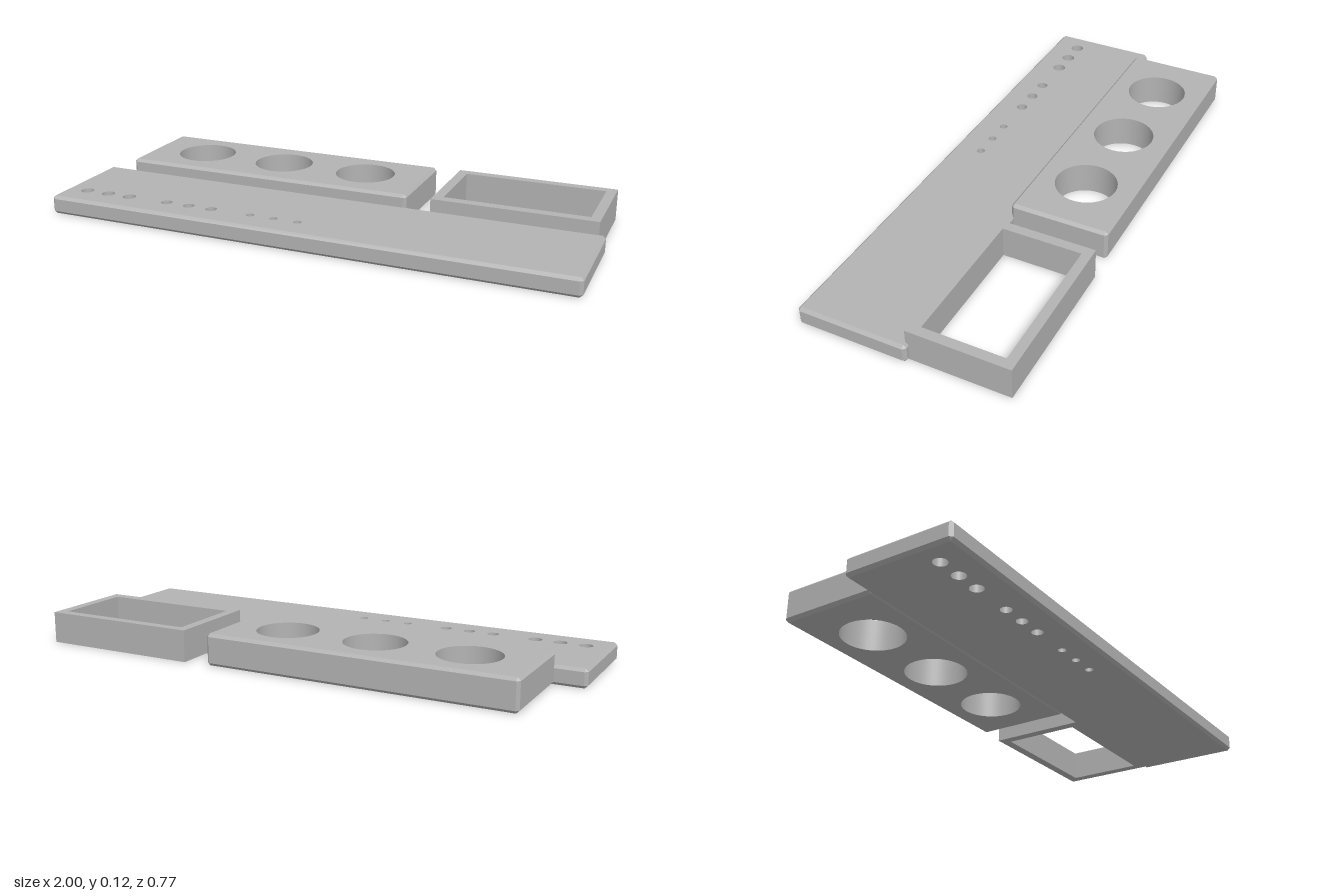
import * as THREE from 'three';

const grey = new THREE.MeshStandardMaterial({ color: 0xb3b3b3 });
grey.name = 'plain grey';
const CHAMFER = 0.011;
const HALF_SEGMENTS = 24;

function rectangle(path, x0, x1, y0, y1) {
  return path.moveTo(x0, y0).lineTo(x1, y0).lineTo(x1, y1).lineTo(x0, y1).closePath();
}

// Chamfered outer walls, lofted through four eight-point rings.
function shellGeometry(x0, x1, z0, z1, h) {
  const c = CHAMFER;
  const ring = (y, wide) => {
    const e = wide ? 0 : c;
    const l = x0 + e, r = x1 - e, b = z0 + e, f = z1 - e;
    const L = x0 + c, R = x1 - c, B = z0 + c, F = z1 - c;
    return [[L, f], [R, f], [r, F], [r, B], [R, b], [L, b], [l, B], [l, F]]
      .map(([x, z]) => new THREE.Vector3(x, y, z));
  };
  const rings = [ring(0, false), ring(c, true), ring(h - c, true), ring(h, false)];
  const points = [];
  const addFace = (p, q, r) => {
    if (new THREE.Triangle(p, q, r).getArea() > 1e-8) points.push(p, q, r);
  };
  for (let k = 0; k < 3; k++) {
    for (let i = 0; i < 8; i++) {
      const j = (i + 1) % 8;
      const low = rings[k], high = rings[k + 1];
      addFace(low[i], low[j], high[j]);
      addFace(low[i], high[j], high[i]);
    }
  }
  const geometry = new THREE.BufferGeometry().setFromPoints(points);
  geometry.computeVertexNormals();
  return geometry;
}

// Flat face with round openings; side is 1 for the top and -1 for the bottom.
function faceGeometry(x0, x1, z0, z1, y, holes, side) {
  const c = CHAMFER;
  const ys = [-side * z0, -side * z1].sort((a, b) => a - b);
  const shape = rectangle(new THREE.Shape(), x0 + c, x1 - c, ys[0] + c, ys[1] - c);
  for (const [x, z, r] of holes) {
    shape.holes.push(new THREE.Path().absarc(x, -side * z, r, 0, Math.PI * 2, true));
  }
  return new THREE.ShapeGeometry(shape, HALF_SEGMENTS)
    .rotateX(-side * Math.PI / 2).translate(0, y, 0);
}

function drilledBlock(name, x0, x1, z0, z1, h, holes) {
  const group = new THREE.Group();
  group.name = name;
  const add = (part, geometry) => {
    const mesh = new THREE.Mesh(geometry, grey);
    mesh.name = part;
    group.add(mesh);
    return mesh;
  };
  add('chamferedWalls', shellGeometry(x0, x1, z0, z1, h));
  add('topFace', faceGeometry(x0, x1, z0, z1, h, holes, 1));
  add('bottomFace', faceGeometry(x0, x1, z0, z1, 0, holes, -1));
  // A profile running downward makes the bore face inward.
  for (const [x, z, r] of holes) {
    const profile = [new THREE.Vector2(r, h), new THREE.Vector2(r, 0)];
    add('holeWall', new THREE.LatheGeometry(profile, HALF_SEGMENTS * 2)).position.set(x, 0, z);
  }
  return group;
}

export function createModel() {
  const model = new THREE.Group();
  model.name = 'toolHolder';

  // Long front plate with three sets of small holes
  const smallHoles = [];
  for (const [start, radius] of [[-0.911, 0.025], [-0.561, 0.021], [-0.214, 0.015]]) {
    for (let i = 0; i < 3; i++) smallHoles.push([start + i * 0.0935, 0.277, radius]);
  }
  model.add(drilledBlock('frontPlate', -1, 1, -0.023, 0.383, 0.07, smallHoles));

  // Taller rear block with three large holes
  const largeHoles = [-0.652, -0.305, 0.043].map((x) => [x, -0.199, 0.114]);
  model.add(drilledBlock('rearBlock', -0.885, 0.275, -0.383, -0.011, 0.118, largeHoles));

  // Open rectangular frame
  const outline = rectangle(new THREE.Shape(), 0.369, 0.976, 0.011, 0.383);
  outline.holes.push(rectangle(new THREE.Path(), 0.406, 0.939, 0.05, 0.347));
  const frame = new THREE.Mesh(
    new THREE.ExtrudeGeometry(outline, { depth: 0.118, bevelEnabled: false }).rotateX(-Math.PI / 2),
    grey
  );
  frame.name = 'openFrame';
  model.add(frame);

  return model;
}
